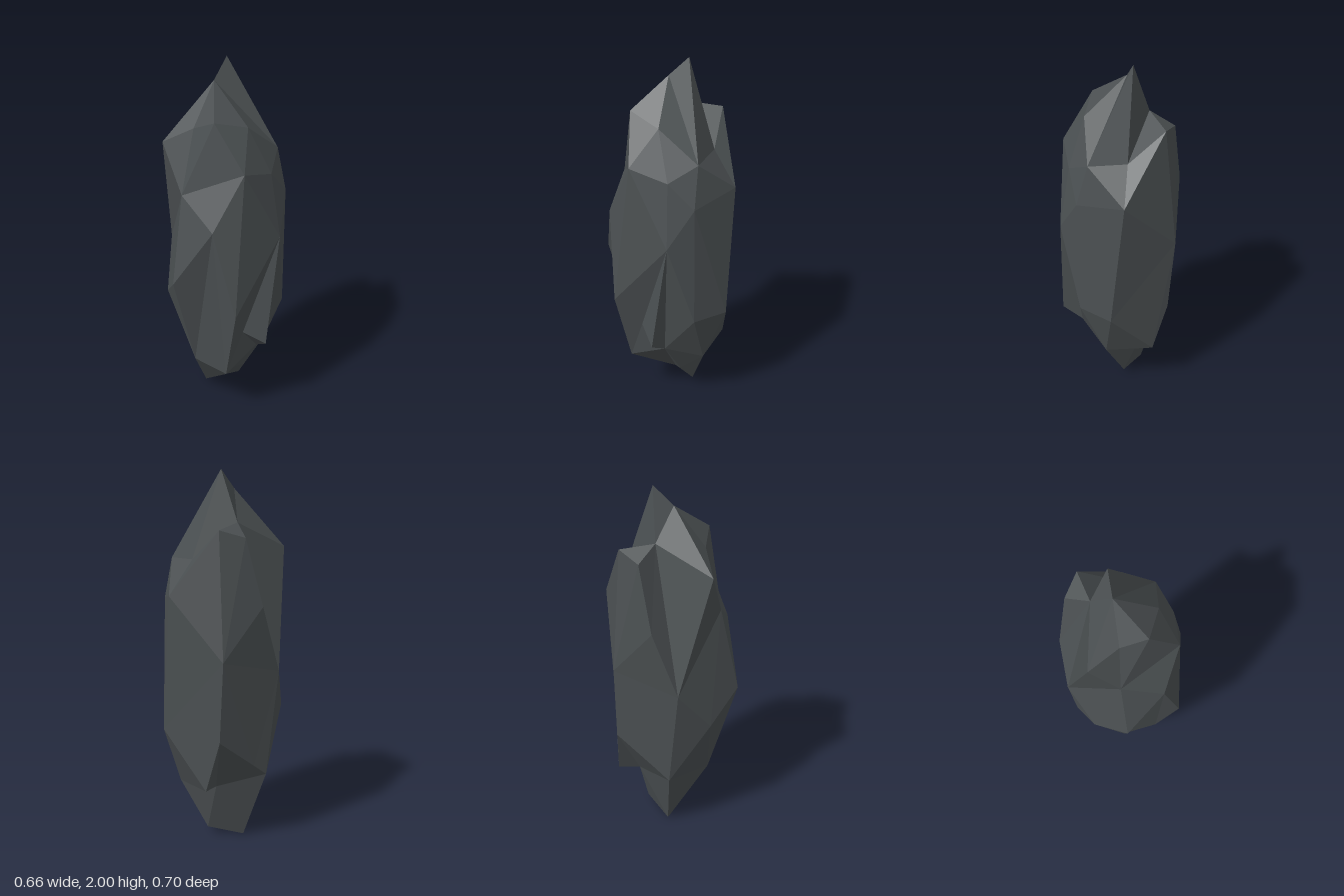
import * as THREE from 'three';

// Angle of each ring point around the vertical axis, unwrapped, plus the closing angle
function ringAngles(ring) {
  const angles = [];
  ring.forEach(([x, , z], i) => {
    let t = Math.atan2(x, z);
    while (i > 0 && t < angles[i - 1] - Math.PI) t += 2 * Math.PI;
    angles.push(t);
  });
  angles.push(angles[0] + 2 * Math.PI);
  return angles;
}

// Joins an upper and a lower closed ring with triangles; shared points simply close up
function stitch(upper, lower, add) {
  const ua = ringAngles(upper), la = ringAngles(lower);
  const n = upper.length, m = lower.length;
  let i = 0, j = 0;
  while (i < n || j < m) {
    const a = upper[i % n], b = lower[j % m];
    const upMid = i < n ? ua[i] + ua[i + 1] : Infinity;
    const lowMid = j < m ? la[j] + la[j + 1] : Infinity;
    if (upMid < lowMid) add(a, b, upper[++i % n]);
    else add(a, b, lower[++j % m]);
  }
}

// Triangles from one point to each neighbouring pair of a path
function fan(centre, path, add) {
  for (let i = 0; i + 1 < path.length; i++) add(centre, path[i], path[i + 1]);
}

export function createModel() {
  const group = new THREE.Group();
  group.name = 'rock';
  const slate = new THREE.MeshStandardMaterial({ color: 0x4b5052 });
  slate.name = 'dark slate';

  // Points above and below the rings, or in more than one ring
  const peak = [-0.045, 2.0, -0.097];
  const ridge = [-0.057, 1.9, 0.005];
  const leftBulge = [-0.332, 0.96, 0.022];
  const leftFoot = [-0.288, 0.385, -0.024];
  const rightFoot = [0.212, 0.4, 0];
  const backFoot = [0.149, 0.315, -0.21];
  const hollow = [-0.075, 0.32, -0.19];
  const base = [-0.147, 0, -0.03];
  const dent = [0.09, 0.175, -0.077];
  const toe = [0.013, 0.045, -0.145];

  // Rings from top to bottom, each starting near the front and turning towards +x
  const crown = [
    [0.057, 1.75, 0.187], [0.16, 1.7, 0.035], [0.222, 1.54, -0.168],
    [0.038, 1.55, -0.237], [-0.139, 1.735, -0.087], [-0.25, 1.595, 0.195], [-0.08, 1.69, 0.163],
  ];
  const shoulder = [
    [0.226, 1.51, 0.178], [0.268, 1.455, -0.02], [0.282, 1.32, -0.157], [0.103, 1.37, -0.353],
    [-0.148, 1.71, -0.267], [-0.243, 1.67, -0.17], [-0.312, 1.32, -0.11],
    leftBulge, [-0.103, 1.35, 0.248],
  ];
  const waist = [
    [0.114, 1.21, 0.3], [0.235, 0.73, 0.27], [0.328, 1.11, -0.022], [0.28, 0.64, -0.165],
    [0.168, 0.64, -0.33], [-0.204, 1.05, -0.312], leftBulge, [-0.245, 0.72, 0.2], [-0.1, 0.875, 0.352],
  ];
  const skirt = [
    [0.135, 0.29, 0.2], [0.197, 0.55, 0.127], [0.306, 0.475, 0.062], rightFoot,
    backFoot, [-0.092, 0.335, -0.31], [-0.178, 0.62, -0.306],
    [-0.258, 0.45, -0.1], leftFoot, [-0.07, 0.32, 0.2],
  ];
  const foot = [base, rightFoot, backFoot, hollow, leftFoot];

  const positions = [];
  const add = (a, b, c) => {
    if (a !== b && b !== c && a !== c) positions.push(...a, ...b, ...c);
  };

  // Pointed top
  fan(ridge, [...crown.slice(4), ...crown.slice(0, 3), peak, crown[4]], add);
  fan(peak, crown.slice(2, 5), add);
  // Sides with the overhanging ledges
  const rings = [crown, shoulder, waist, skirt, foot];
  for (let i = 0; i + 1 < rings.length; i++) stitch(rings[i], rings[i + 1], add);
  // Underside
  fan(toe, [base, hollow, backFoot, dent, base], add);
  fan(dent, [backFoot, rightFoot, base], add);
  add(base, leftFoot, hollow);

  // Separate triangles, so the normals stay flat
  const geometry = new THREE.BufferGeometry();
  geometry.setAttribute('position', new THREE.Float32BufferAttribute(positions, 3));
  geometry.computeVertexNormals();
  const stone = new THREE.Mesh(geometry, slate);
  stone.name = 'stone';
  group.add(stone);
  return group;
}
